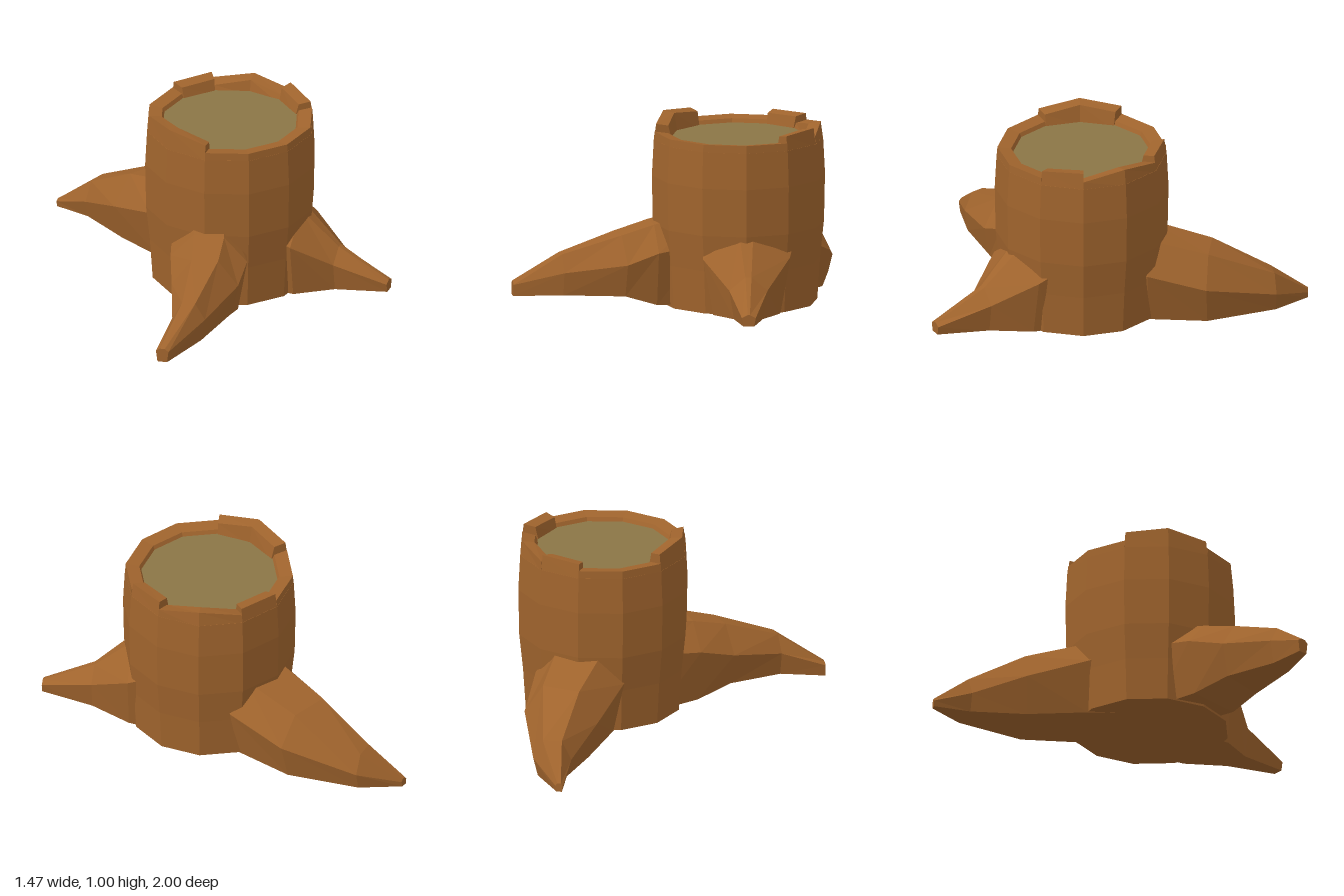
import * as THREE from 'three';

const CX = -0.03, CZ = -0.03, SIDES = 12;
const bark = new THREE.MeshStandardMaterial({ color: 0xa0642d, flatShading: true });
const wood = new THREE.MeshStandardMaterial({ color: 0x8b7546, flatShading: true });

// Point on the trunk's twelve-sided outline
const rim = (k, r, y) => {
  const a = (k * Math.PI * 2) / SIDES;
  return [CX + r * Math.cos(a), y, CZ + r * Math.sin(a)];
};

// Closed solid through matching rings of points, wound outwards
function loft(name, rings, material = bark) {
  const tris = [], n = rings[0].length;
  for (let i = 0; i < rings.length - 1; i++) {
    for (let j = 0; j < n; j++) {
      const k = (j + 1) % n, [p, q] = [rings[i], rings[i + 1]];
      tris.push([p[j], q[j], q[k]], [p[j], q[k], p[k]]);
    }
  }
  const first = rings[0], last = rings[rings.length - 1];
  for (let j = 1; j < n - 1; j++) {
    tris.push([first[0], first[j], first[j + 1]], [last[0], last[j + 1], last[j]]);
  }
  const v = (p) => new THREE.Vector3(...p);
  const volume = tris.reduce((s, [a, b, c]) => s + v(a).dot(v(b).cross(v(c))), 0);
  if (volume < 0) tris.forEach((t) => t.reverse());
  const geometry = new THREE.BufferGeometry();
  geometry.setAttribute('position', new THREE.Float32BufferAttribute(tris.flat(2), 3));
  geometry.computeVertexNormals();
  const mesh = new THREE.Mesh(geometry, material);
  mesh.name = name;
  return mesh;
}

// Root: each section is [x, z of one flank, x, z of the other, top, flank height, bottom]
function root(name, sections, ridge = 0.3) {
  return loft(name, sections.map(([x0, z0, x1, z1, top, mid, low]) => {
    const at = (t, y) => [x0 + (x1 - x0) * t, y, z0 + (z1 - z0) * t];
    return [at(0.12, low), at(0, mid), at(ridge, top), at(1 - ridge, top), at(1, mid), at(0.88, low)];
  }));
}

export function createModel() {
  const model = new THREE.Group();
  model.name = 'treeStump';

  // Trunk, finishing just below the cut face
  const levels = [[0.035, 0.41], [0.26, 0.425], [0.45, 0.445], [0.7, 0.45], [0.89, 0.44]];
  model.add(loft('trunk', levels.map(([y, r]) =>
    Array.from({ length: SIDES }, (_, k) => rim(k, r, y)))));

  // Cut face
  model.add(loft('cutFace', [0.87, 0.9].map((y) =>
    Array.from({ length: SIDES }, (_, k) => rim(k, 0.36, y))), wood));

  // Broken bark rim: start and end height of every segment
  const raised = {
    4: [0.97, 1.0], 5: [1.0, 0.98], 8: [0.965, 0.97],
    9: [0.935, 0.968], 10: [0.968, 0.93], 11: [0.975, 0.965],
  };
  const barkRim = new THREE.Group();
  barkRim.name = 'barkRim';
  for (let k = 0; k < SIDES; k++) {
    const heights = raised[k] || [0.93, 0.93];
    barkRim.add(loft('rimSegment', heights.map((y, i) => [
      rim(k + i, 0.44, 0.88), rim(k + i, y > 0.95 ? 0.428 : 0.436, y),
      rim(k + i, 0.365, y - 0.01), rim(k + i, 0.345, 0.88),
    ])));
  }
  model.add(barkRim);

  // Front root, lifted off the ground towards its tip
  model.add(root('frontRoot', [
    [-0.36, 0.08, 0.0, 0.2, 0.5, 0.36, 0.035],
    [-0.42, 0.3, -0.05, 0.46, 0.46, 0.33, 0.05],
    [-0.46, 0.5, -0.13, 0.6, 0.41, 0.27, 0.1],
    [-0.52, 0.78, -0.36, 0.84, 0.31, 0.22, 0.1],
    [-0.65, 0.97, -0.59, 1.0, 0.155, 0.14, 0.08],
  ]));

  // Left root, with a narrow ridge
  model.add(root('leftRoot', [
    [0.36, -0.1, 0.1, 0.28, 0.5, 0.38, 0.035],
    [0.43, -0.03, 0.2, 0.36, 0.46, 0.33, 0.035],
    [0.54, 0.19, 0.43, 0.355, 0.27, 0.2, 0.05],
    [0.73, 0.4, 0.69, 0.46, 0.125, 0.11, 0.065],
  ], 0.42));

  // Back root, resting on the ground
  model.add(root('backRoot', [
    [-0.34, -0.1, 0.04, -0.3, 0.48, 0.35, 0.035],
    [-0.41, -0.24, 0.03, -0.45, 0.45, 0.3, 0.03],
    [-0.53, -0.54, -0.15, -0.7, 0.36, 0.2, 0.005],
    [-0.62, -0.81, -0.47, -0.94, 0.2, 0.1, 0.005],
    [-0.735, -0.98, -0.7, -1.0, 0.045, 0.03, 0.0],
  ], 0.25));

  return model;
}
